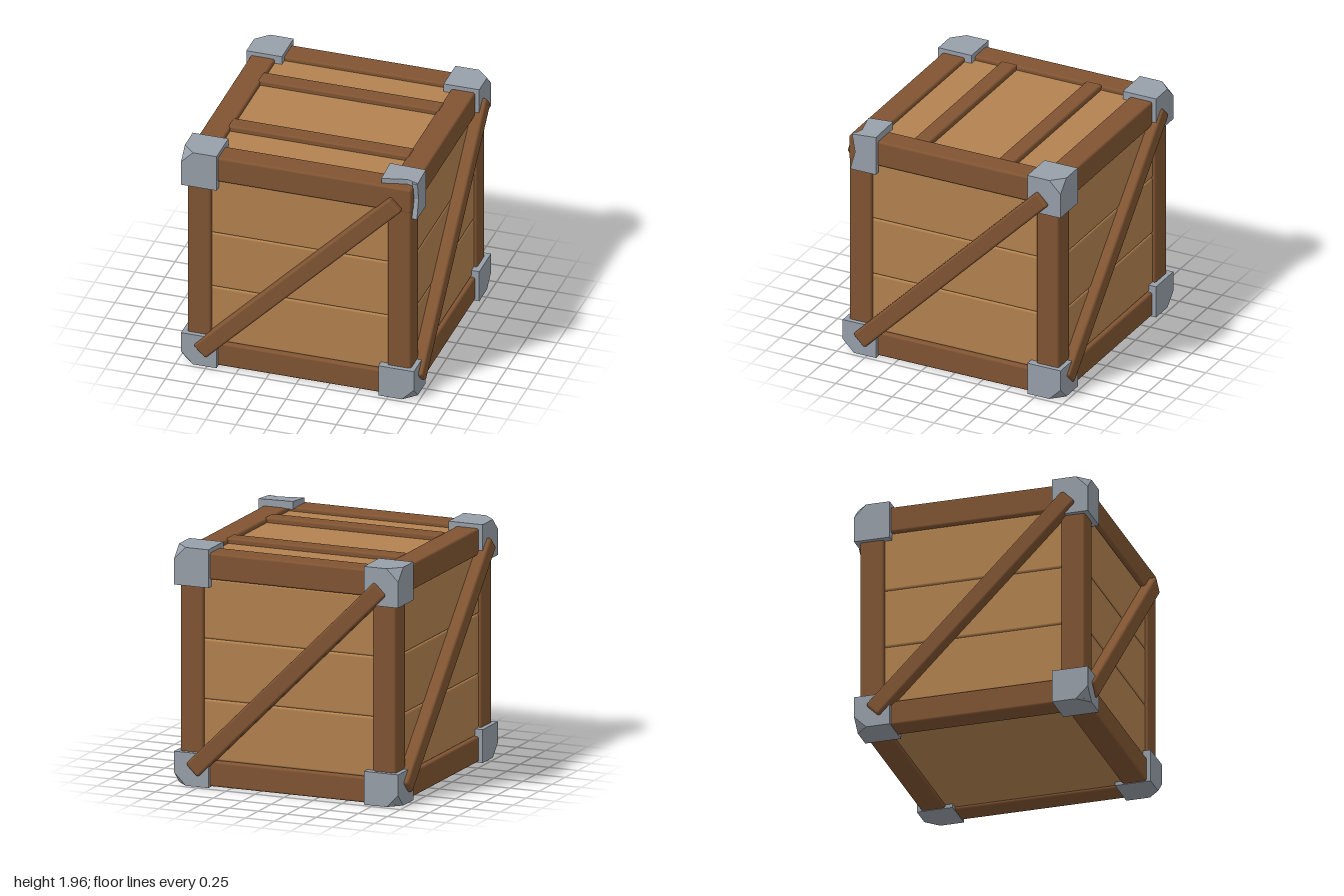
import * as THREE from 'three';
import { RoundedBoxGeometry } from 'three/addons/geometries/RoundedBoxGeometry.js';
import { ConvexGeometry } from 'three/addons/geometries/ConvexGeometry.js';

const material = (name, color) => {
  const m = new THREE.MeshStandardMaterial({ color });
  m.name = name;
  return m;
};

export function createModel() {
  const plankWood = material('light plank wood', 0xb3824f);
  const frameWood = material('dark frame wood', 0x805432);
  const metal = material('grey metal', 0x979fa9);

  const crate = new THREE.Group();
  crate.name = 'crate';

  const add = (parent, name, geometry, mat) => {
    const mesh = new THREE.Mesh(geometry, mat);
    mesh.name = name;
    parent.add(mesh);
    return mesh;
  };
  // Box with softened edges, given by its lower and upper limits
  const beam = (parent, name, mat, [x0, y0, z0], [x1, y1, z1], r = 0.018) => {
    const mesh = add(parent, name, new RoundedBoxGeometry(x1 - x0, y1 - y0, z1 - z0, 2, r), mat);
    mesh.position.set((x0 + x1) / 2, (y0 + y1) / 2, (z0 + z1) / 2);
    return mesh;
  };

  // Solid core, seen as the bottom panel
  const core = add(crate, 'core', new THREE.BoxGeometry(1.76, 1.8, 1.76), plankWood);
  core.position.y = 0.93;

  // Four walls: planks, top and bottom rails, diagonal brace
  for (let k = 0; k < 4; k++) {
    const wall = new THREE.Group();
    wall.name = 'wall' + (k + 1);
    wall.rotation.y = k * Math.PI / 2;
    crate.add(wall);

    for (let i = 0; i < 3; i++) {
      const y = 0.21 + i * 0.49;
      beam(wall, 'plank', plankWood, [-0.8, y, 0.82], [0.8, y + 0.49, 0.9]);
    }
    const end = k % 2 ? 0.925 : 0.93;
    beam(wall, 'bottomRail', frameWood, [-end, 0.005, 0.73], [end, 0.21, 0.93]);
    beam(wall, 'topRail', frameWood, [-end, 1.68, 0.73], [end, 1.895, 0.93]);

    const front = k % 2 ? 1.0 : 0.985;
    const brace = add(wall, 'diagonalBrace',
      new RoundedBoxGeometry(2.3, 0.142, 0.11, 2, 0.02), frameWood);
    brace.position.set(0, 0.945, front - 0.055);
    brace.rotation.z = Math.atan2(1.63, 1.62);
  }

  // Corner posts
  for (const sx of [-1, 1]) for (const sz of [-1, 1]) {
    const post = beam(crate, 'cornerPost', frameWood, [-0.0975, 0.02, -0.0975], [0.0975, 1.88, 0.0975]);
    post.position.x = sx * 0.829;
    post.position.z = sz * 0.829;
  }

  // Lid planks and the two slats over their joints
  for (const [z0, z1] of [[-0.8, -0.375], [-0.375, 0.375], [0.375, 0.8]]) {
    beam(crate, 'lidPlank', plankWood, [-0.8, 1.79, z0], [0.8, 1.86, z1]);
  }
  for (const z of [-0.378, 0.372]) {
    beam(crate, 'lidSlat', frameWood, [-0.75, 1.8, z - 0.07], [0.75, 1.904, z + 0.07]);
  }

  // Corner brackets: cubes with the outermost corner cut away
  const bracket = (sx, sz, top) => {
    const inner = 0.67, outer = 0.965, cut = 0.1;
    const yIn = top ? 1.62 : 0.27, yOut = top ? 1.93 : 0;
    const yCut = yOut + (top ? -cut : cut);
    const points = [];
    for (const x of [inner, outer]) for (const y of [yIn, yOut]) for (const z of [inner, outer]) {
      if (x === outer && y === yOut && z === outer) continue;
      points.push(new THREE.Vector3(sx * x, y, sz * z));
    }
    points.push(
      new THREE.Vector3(sx * (outer - cut), yOut, sz * outer),
      new THREE.Vector3(sx * outer, yCut, sz * outer),
      new THREE.Vector3(sx * outer, yOut, sz * (outer - cut)));
    add(crate, top ? 'topBracket' : 'bottomBracket', new ConvexGeometry(points), metal);
  };
  for (const sx of [-1, 1]) for (const sz of [-1, 1]) {
    bracket(sx, sz, false);
    if (sx < 0 || sz < 0) bracket(sx, sz, true);
  }

  // Torn bracket on the front corner: a bent top plate and a side plate
  const plate = (points, depth) => new THREE.ExtrudeGeometry(
    new THREE.Shape(points.map(([x, y]) => new THREE.Vector2(x, y))),
    { depth, bevelEnabled: false });

  const topPlate = plate([[0.67, -0.67], [0.67, -0.89], [0.87, -0.84], [0.967, -0.87], [0.967, -0.67]], 0.05);
  topPlate.rotateX(-Math.PI / 2).translate(0, 1.89, 0);
  const p = topPlate.attributes.position;
  for (let i = 0; i < p.count; i++) {
    // The upper face rises towards the inner corner
    if (p.getY(i) > 1.92) p.setY(i, 1.955 - 0.08 * (p.getZ(i) - 0.67) - 0.02 * (p.getX(i) - 0.67));
  }
  topPlate.computeVertexNormals();
  add(crate, 'tornBracketTop', topPlate, metal);

  const sidePlate = plate([[-0.67, 1.62], [-0.67, 1.945], [-0.88, 1.93], [-0.87, 1.87], [-0.854, 1.78], [-0.897, 1.62]], 0.045);
  sidePlate.rotateY(Math.PI / 2).translate(0.922, 0, 0);
  add(crate, 'tornBracketSide', sidePlate, metal);

  return crate;
}
